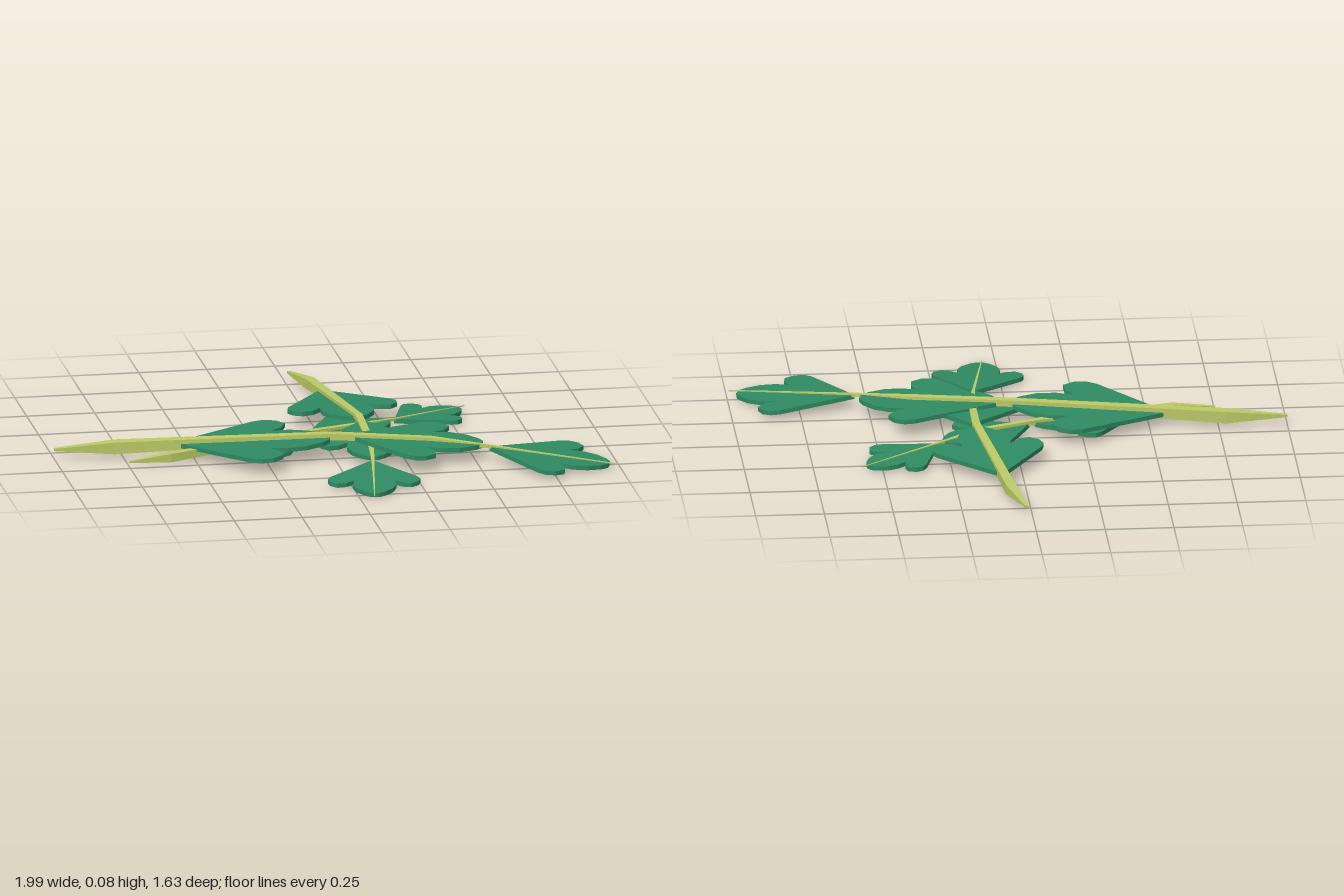
import * as THREE from 'three';

const leafGreen = new THREE.MeshStandardMaterial({ color: 0x2e8b62, flatShading: true });
leafGreen.name = 'leafGreen';
const stemGreen = new THREE.MeshStandardMaterial({ color: 0xbcca66, flatShading: true });
stemGreen.name = 'stemGreen';

// Half outline of a three-lobed leaf, unit length, from its pointed base to its end
const HALF = [
  [0.5, 0.43], [0.57, 0.46], [0.65, 0.44], [0.71, 0.37], [0.69, 0.28], [0.62, 0.2],
  [0.74, 0.215], [0.86, 0.18], [0.96, 0.1],
];
const THICK = 0.016;

function leafGeometry(length) {
  const pts = [[0, 0], ...HALF.map(([u, v]) => [u, -v]), [1, -0.04], [1, 0.04],
    ...HALF.slice().reverse()];
  const shape = new THREE.Shape(pts.map(([u, v]) => new THREE.Vector2(u * length, v * length)));
  return new THREE.ExtrudeGeometry(shape, { depth: THICK, bevelEnabled: false });
}

// Leaf lying flat along the line from base to end, top face at that line
function makeLeaf(name, base, end) {
  const a = new THREE.Vector3(...base), b = new THREE.Vector3(...end);
  const dir = b.clone().sub(a);
  const mesh = new THREE.Mesh(leafGeometry(dir.length()), leafGreen);
  dir.normalize();
  const side = new THREE.Vector3(0, 1, 0).cross(dir).normalize();
  const normal = dir.clone().cross(side);
  mesh.matrix.makeBasis(dir, side, normal);
  mesh.quaternion.setFromRotationMatrix(mesh.matrix);
  mesh.position.copy(a).addScaledVector(normal, -THICK);
  mesh.name = name;
  return mesh;
}

// Stem: rectangular sections swept along a bent path, thick end first
const WIDTHS = [0.015, 0.044, 0.034, 0.03, 0.013, 0.004];
const HEIGHTS = [0.008, 0.044, 0.024, 0.02, 0.012, 0.004];
function makeStem(name, path, scale) {
  const p = path.map((q) => new THREE.Vector3(...q));
  const pos = [], idx = [];
  p.forEach((c, i) => {
    const t = p[Math.min(i + 1, p.length - 1)].clone().sub(p[Math.max(i - 1, 0)]);
    const side = new THREE.Vector3(0, 1, 0).cross(t).normalize();
    const w = WIDTHS[i] * scale / 2, h = HEIGHTS[i] * scale / 2;
    for (const [sx, sy] of [[-1, -1], [1, -1], [1, 1], [-1, 1]]) {
      pos.push(c.x + side.x * w * sx, c.y + h * sy, c.z + side.z * w * sx);
    }
    if (i === 0) return;
    for (let k = 0; k < 4; k++) {
      const a = (i - 1) * 4 + k, b = (i - 1) * 4 + (k + 1) % 4;
      idx.push(a, b, b + 4, a, b + 4, a + 4);
    }
  });
  const e = (p.length - 1) * 4;
  idx.push(0, 2, 1, 0, 3, 2, e, e + 1, e + 2, e, e + 2, e + 3);
  const geo = new THREE.BufferGeometry();
  geo.setAttribute('position', new THREE.Float32BufferAttribute(pos, 3));
  geo.setIndex(idx);
  const flat = geo.toNonIndexed();
  flat.computeVertexNormals();
  const mesh = new THREE.Mesh(flat, stemGreen);
  mesh.name = name;
  return mesh;
}

// Each sprig: a stem with lower, middle and end leaves
const SPRIGS = [
  {
    name: 'largeSprig', scale: 1,
    path: [[-1, 0.035, 0.073], [-0.78, 0.037, 0.082], [0, 0.072, 0.195], [0.35, 0.066, 0.285], [0.55, 0.054, 0.37], [0.99, 0.017, 0.555]],
    leaves: [
      [[-0.57, 0.05, 0.105], [-0.01, 0.07, 0.21]],
      [[0.05, 0.073, 0.185], [0.53, 0.06, 0.335]],
      [[0.55, 0.054, 0.37], [0.96, 0.019, 0.535]],
    ],
  },
  {
    name: 'mediumSprig', scale: 0.82,
    path: [[0.018, 0.03, -0.815], [0.063, 0.037, -0.64], [0.14, 0.072, -0.04], [0.135, 0.055, 0.24], [0.11, 0.038, 0.43], [0.05, 0.014, 0.81]],
    leaves: [
      [[0.08, 0.048, -0.5], [0.14, 0.07, -0.055]],
      [[0.15, 0.068, -0.01], [0.12, 0.046, 0.395]],
      [[0.11, 0.038, 0.42], [0.058, 0.017, 0.78]],
    ],
  },
  {
    name: 'smallSprig', scale: 0.72,
    path: [[-0.75, 0.02, 0.23], [-0.6, 0.026, 0.212], [-0.1, 0.046, 0.06], [0.13, 0.044, -0.025], [0.28, 0.033, -0.115], [0.575, 0.018, -0.305]],
    leaves: [
      [[-0.46, 0.032, 0.165], [-0.08, 0.045, 0.055]],
      [[-0.06, 0.044, 0.04], [0.26, 0.037, -0.1]],
      [[0.285, 0.033, -0.118], [0.55, 0.019, -0.29]],
    ],
  },
];

export function createModel() {
  const model = new THREE.Group();
  model.name = 'herbSprigs';
  for (const s of SPRIGS) {
    const sprig = new THREE.Group();
    sprig.name = s.name;
    sprig.add(makeStem('stem', s.path, s.scale));
    s.leaves.forEach(([base, end], i) => {
      sprig.add(makeLeaf(['lowerLeaf', 'middleLeaf', 'endLeaf'][i], base, end));
    });
    model.add(sprig);
  }
  return model;
}
